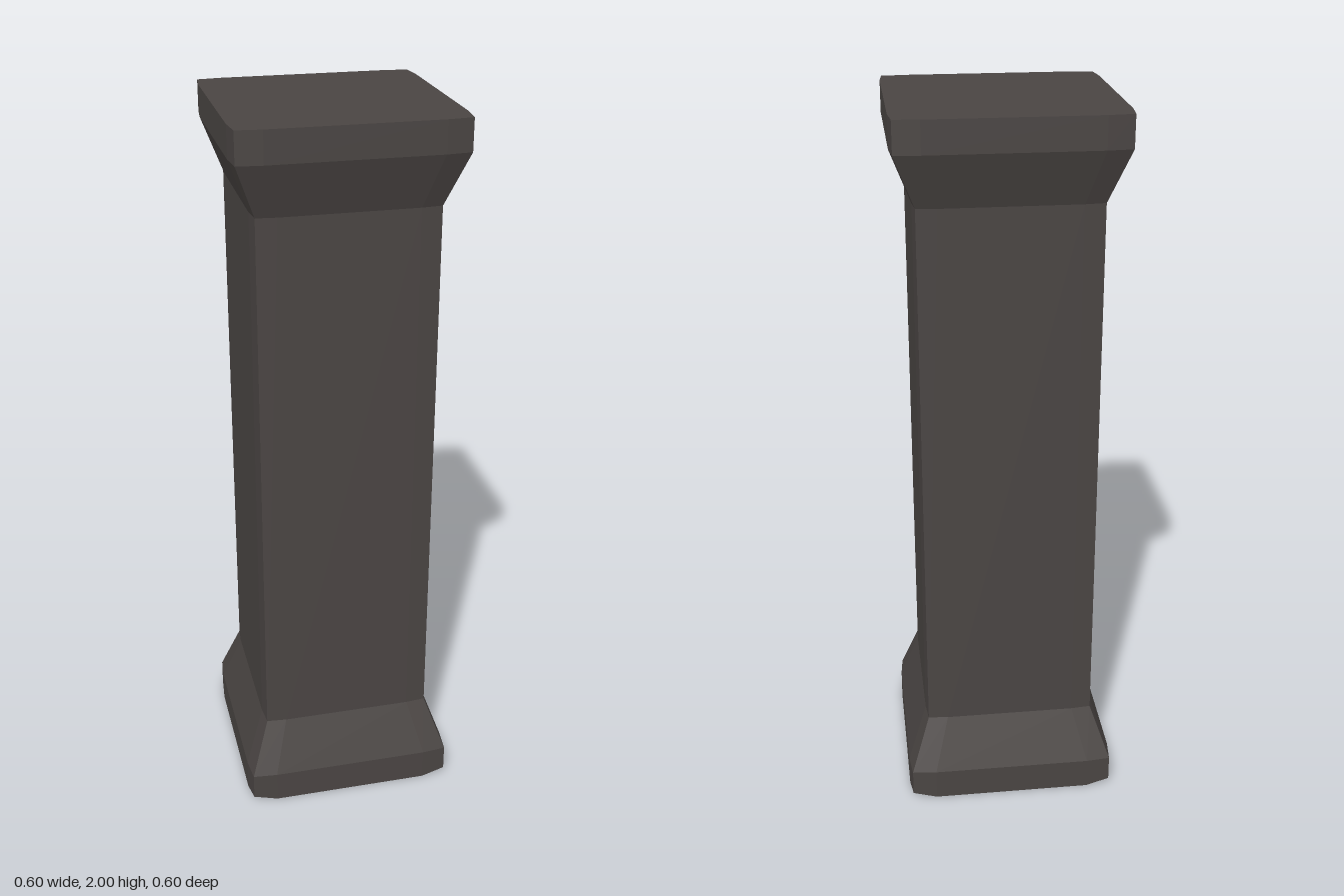
import * as THREE from 'three';

const material = new THREE.MeshStandardMaterial({ color: 0x4a4543, flatShading: true });

// Square outline whose sides bow in slightly towards the four corners
function ring(half, y, cornerLift = 0) {
  const points = [];
  for (let k = 0; k < 4; k++) {
    const a = k * Math.PI / 2, c = Math.cos(a), s = Math.sin(a);
    for (const [u, v, lift] of [[1, -0.75, 0], [1, 0.75, 0], [0.978, 0.978, cornerLift]]) {
      points.push(new THREE.Vector3((u * c - v * s) * half, y + lift, (u * s + v * c) * half));
    }
  }
  return points;
}

// Skin a stack of rings, with optional end caps
function loft(name, rings, capBottom, capTop) {
  const positions = [];
  const tri = (...corners) => corners.forEach(p => positions.push(p.x, p.y, p.z));
  const n = rings[0].length;
  const first = rings[0], last = rings[rings.length - 1];
  const bottomCentre = new THREE.Vector3(0, first[0].y, 0);
  const topCentre = new THREE.Vector3(0, last[0].y, 0);
  for (let i = 0; i < n; i++) {
    const j = (i + 1) % n;
    for (let r = 0; r < rings.length - 1; r++) {
      const low = rings[r], high = rings[r + 1];
      tri(low[i], high[i], low[j]);
      tri(low[j], high[i], high[j]);
    }
    if (capBottom) tri(bottomCentre, first[i], first[j]);
    if (capTop) tri(topCentre, last[j], last[i]);
  }
  const geometry = new THREE.BufferGeometry();
  geometry.setAttribute('position', new THREE.Float32BufferAttribute(positions, 3));
  geometry.computeVertexNormals();
  const mesh = new THREE.Mesh(geometry, material);
  mesh.name = name;
  return mesh;
}

export function createModel() {
  const pillar = new THREE.Group();
  pillar.name = 'pillar';
  const wide = 0.3, narrow = 0.245;
  pillar.add(
    // Plinth with sloped shoulders; its bottom corners are worn up a little
    loft('base', [ring(wide, 0, 0.015), ring(wide, 0.09), ring(narrow, 0.245)], true, false),
    loft('shaft', [ring(narrow, 0.245), ring(narrow, 1.77)], false, false),
    // Flared top block
    loft('capital', [ring(narrow, 1.77), ring(wide, 1.915), ring(wide, 2)], false, true)
  );
  return pillar;
}
